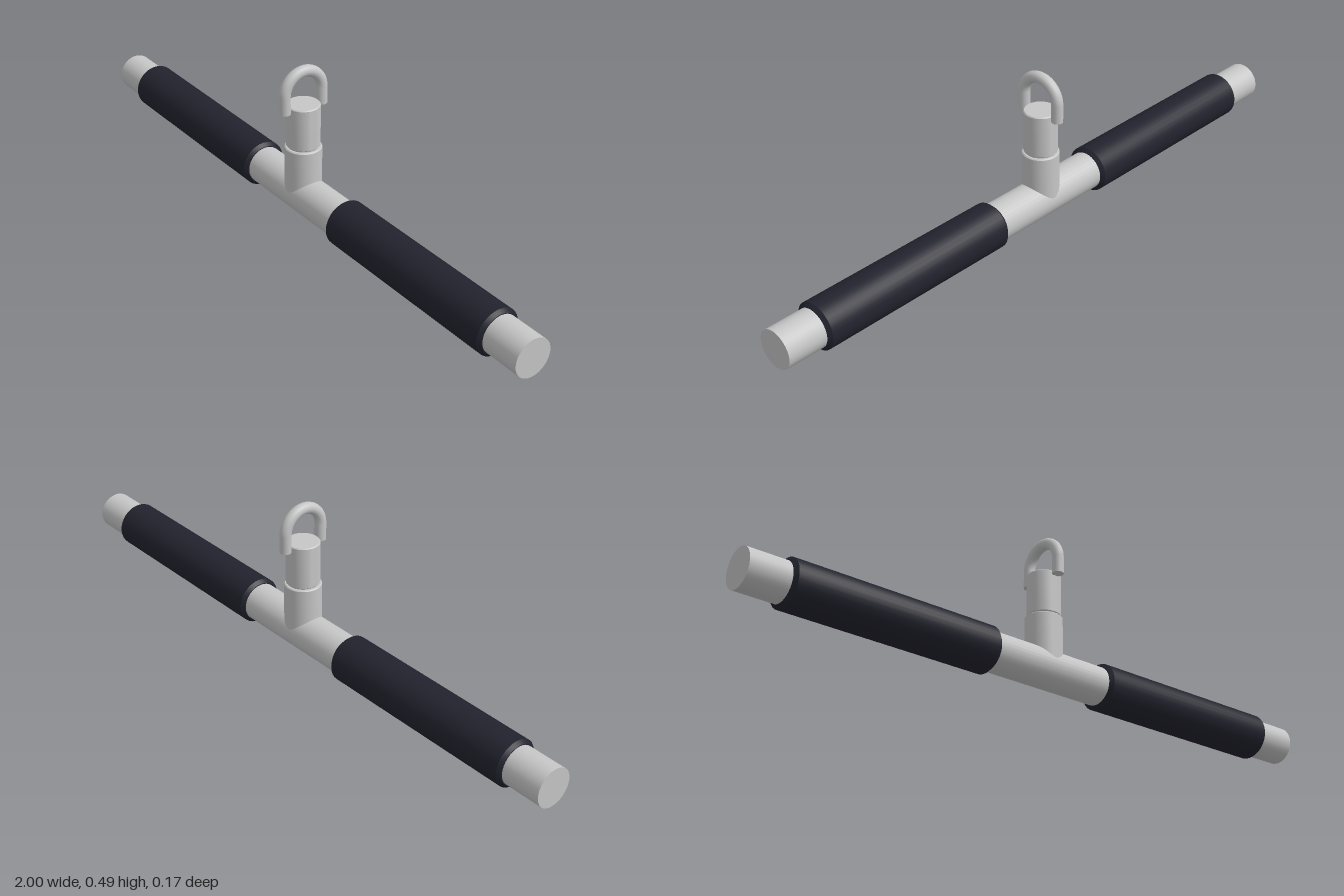
import * as THREE from 'three';
import { toCreasedNormals } from 'three/addons/utils/BufferGeometryUtils.js';

const SEGMENTS = 32;

// Solid turned part along +y, centred on its length, with small chamfers at both ends
function turned(radius, length, chamfer) {
  const h = length / 2, c = chamfer;
  const profile = [[0, -h], [radius - c, -h], [radius, -h + c], [radius, h - c], [radius - c, h], [0, h]]
    .map(([x, y]) => new THREE.Vector2(x, y));
  return toCreasedNormals(new THREE.LatheGeometry(profile, SEGMENTS), 0.5);
}

export function createModel() {
  const model = new THREE.Group();
  model.name = 'cableBarAttachment';

  const steel = new THREE.MeshStandardMaterial({ color: 0xc6c6c6 });
  steel.name = 'brushed steel';
  const rubber = new THREE.MeshStandardMaterial({ color: 0x22222e });
  rubber.name = 'dark rubber';

  const add = (name, geometry, material, x = 0, y = 0, z = 0) => {
    const mesh = new THREE.Mesh(geometry, material);
    mesh.name = name;
    mesh.position.set(x, y, z);
    model.add(mesh);
    return mesh;
  };

  const barY = 0.0715;

  // Straight bar
  add('bar', new THREE.CylinderGeometry(0.059, 0.059, 2, SEGMENTS), steel, 0, barY).rotation.z = Math.PI / 2;

  // Hand grips
  for (const [name, side] of [['leftGrip', 1], ['rightGrip', -1]]) {
    add(name, turned(0.0715, 0.672, 0.01), rubber, side * 0.539, barY).rotation.z = Math.PI / 2;
  }

  // Stem welded to the bar, narrow neck and swivel collar
  add('stem', turned(0.056, 0.161, 0.003), steel, 0, 0.1515);
  add('swivelNeck', new THREE.CylinderGeometry(0.047, 0.047, 0.02, SEGMENTS), steel, 0, 0.233);
  add('swivelCollar', turned(0.051, 0.135, 0.003), steel, 0, 0.3015);

  // Shackle: two straight legs joined by a half circle in the yz plane
  const reach = 0.065, tube = 0.0175, legBottom = 0.354, bendY = 0.408;
  const arch = new THREE.TorusGeometry(reach, tube, 16, 32, Math.PI);
  arch.rotateY(Math.PI / 2);
  add('shackleArch', arch, steel, 0, bendY);
  for (const [name, side] of [['shackleFrontLeg', 1], ['shackleBackLeg', -1]]) {
    add(name, new THREE.CylinderGeometry(tube, tube, bendY - legBottom, 16), steel,
      0, (bendY + legBottom) / 2, side * reach);
  }

  return model;
}
